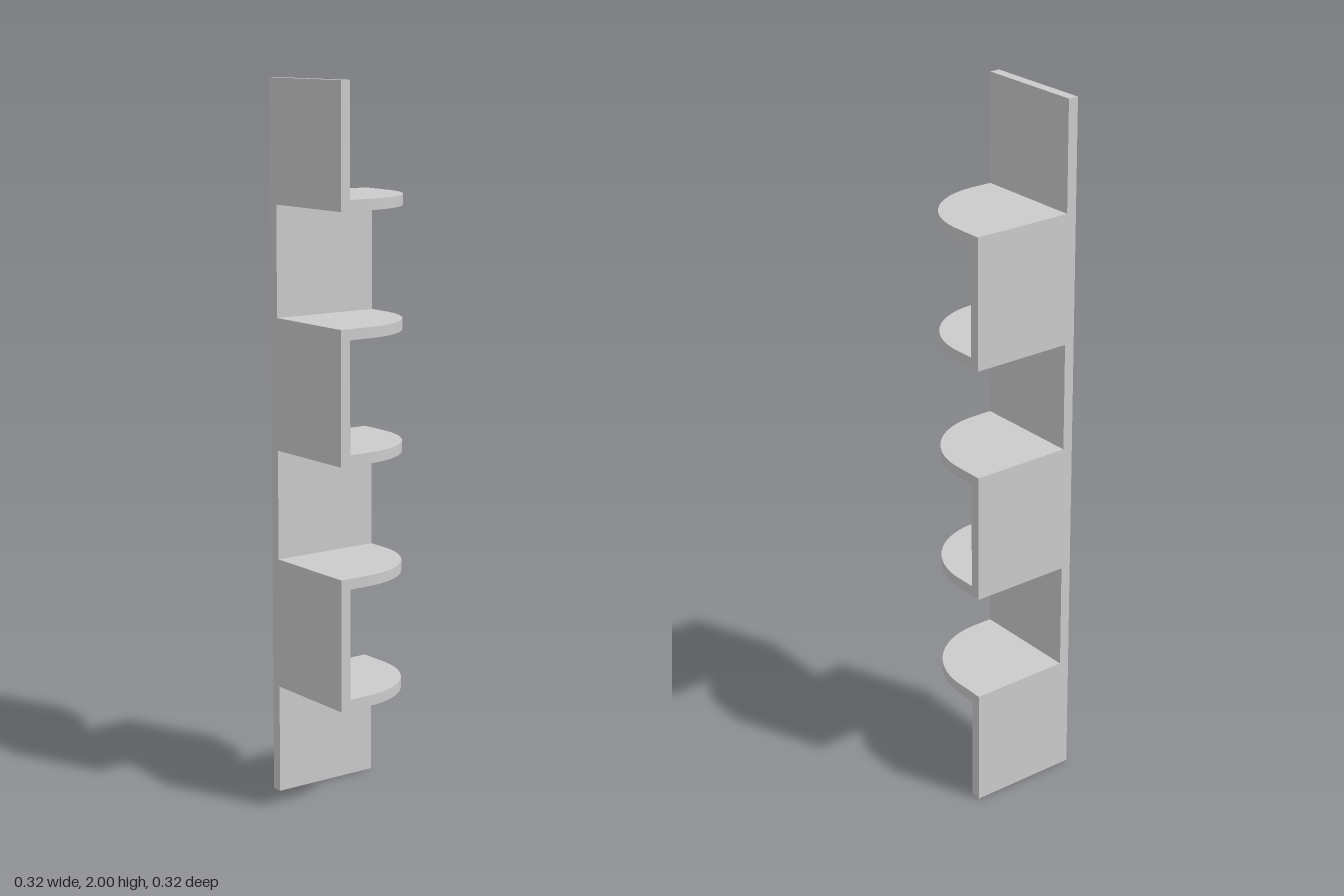
import * as THREE from 'three';
import { toCreasedNormals } from 'three/addons/utils/BufferGeometryUtils.js';

const HALF = 0.162;       // half of the square footprint
const T = 0.03;           // board thickness
const HEIGHT = 2;
const SHELVES = 5;
const RADIUS = 0.235;     // rounded shelf corner
const GAP = (HEIGHT - SHELVES * T) / (SHELVES + 1); // clear height between shelves

// Square shelf with one large rounded corner at the back (+x, -z)
function shelfGeometry() {
  const s = new THREE.Shape(); // shape y becomes -z
  s.moveTo(-HALF, -HALF);
  s.lineTo(HALF, -HALF);
  s.lineTo(HALF, HALF - RADIUS);
  s.absarc(HALF - RADIUS, HALF - RADIUS, RADIUS, 0, Math.PI / 2, false);
  s.lineTo(-HALF, HALF);
  s.closePath();
  const g = new THREE.ExtrudeGeometry(s, { depth: T, bevelEnabled: false, curveSegments: 32 });
  g.rotateX(-Math.PI / 2);
  return toCreasedNormals(g, Math.PI / 6);
}

export function createModel() {
  const group = new THREE.Group();
  group.name = 'zigzagCornerShelf';
  const material = new THREE.MeshStandardMaterial({ color: 0xcccccc });
  const add = (name, geometry, x, y, z) => {
    const mesh = new THREE.Mesh(geometry, material);
    mesh.name = name;
    mesh.position.set(x, y, z);
    group.add(mesh);
  };

  const shelf = shelfGeometry();
  const sidePanel = new THREE.BoxGeometry(T, GAP, HALF * 2);
  const frontPanel = new THREE.BoxGeometry(HALF * 2, GAP, T);

  // Upright panels alternate between the side and the front, a shelf on top of each
  for (let i = 0; i <= SHELVES; i++) {
    const y = i * (GAP + T);
    if (i % 2 === 0) add('sidePanel' + (i / 2 + 1), sidePanel, -HALF + T / 2, y + GAP / 2, 0);
    else add('frontPanel' + (i + 1) / 2, frontPanel, 0, y + GAP / 2, HALF - T / 2);
    if (i < SHELVES) add('shelf' + (i + 1), shelf, 0, y + GAP, 0);
  }
  return group;
}
